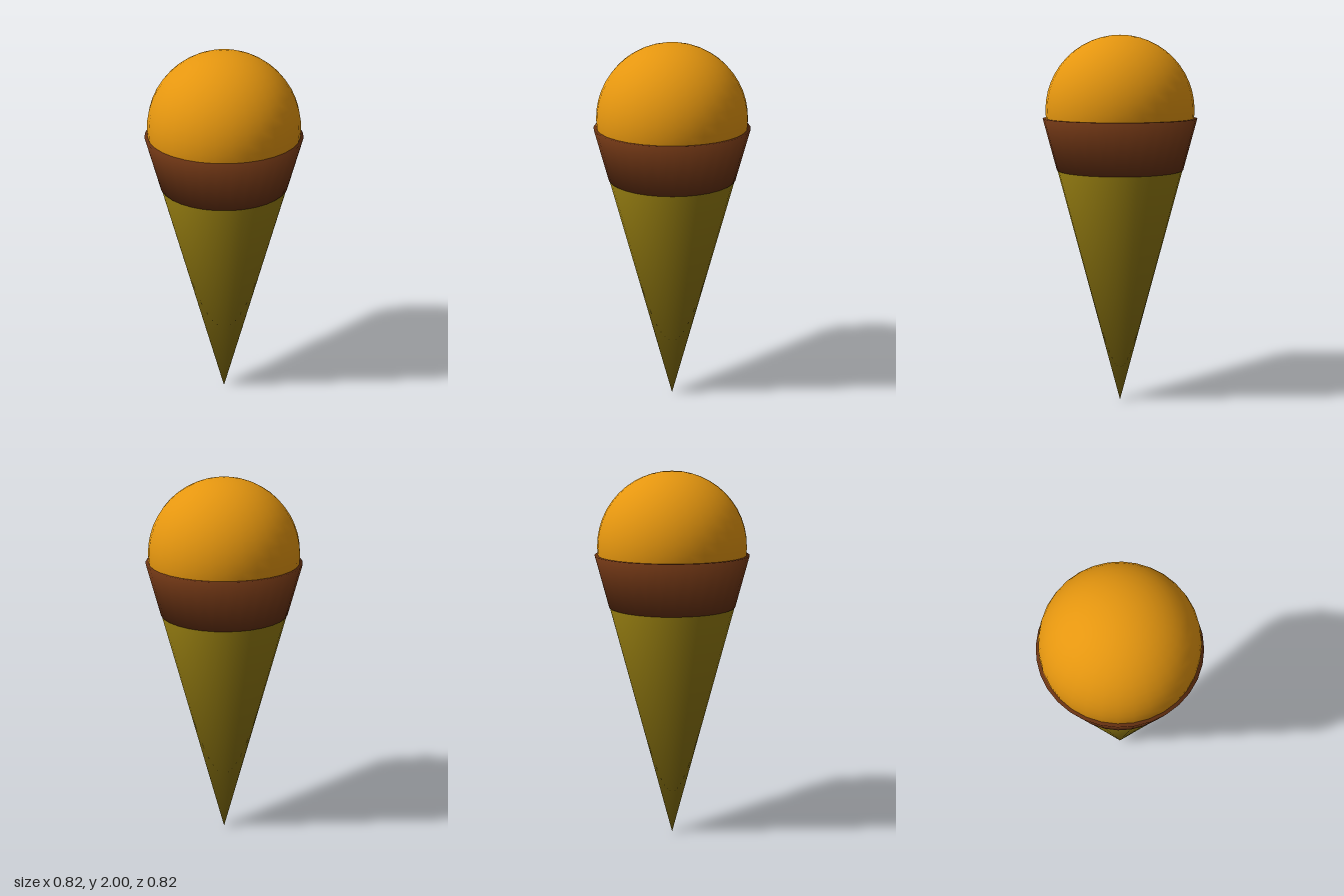
import * as THREE from 'three';
import { mergeVertices } from 'three/addons/utils/BufferGeometryUtils.js';

const SIDES = 32;

// Closed frustum whose normals run smoothly over its rims
function softFrustum(rTop, rBottom, y0, y1) {
  const g = new THREE.CylinderGeometry(rTop, rBottom, y1 - y0, SIDES, 1);
  g.deleteAttribute('normal');
  g.deleteAttribute('uv');
  const merged = mergeVertices(g, 1e-4);
  merged.computeVertexNormals();
  merged.translate(0, (y0 + y1) / 2, 0);
  return merged;
}

export function createModel() {
  const group = new THREE.Group();
  const material = (name, color) => {
    const m = new THREE.MeshStandardMaterial({ color });
    m.name = name;
    return m;
  };
  const add = (name, geometry, mat) => {
    const mesh = new THREE.Mesh(geometry, mat);
    mesh.name = name;
    group.add(mesh);
  };

  // Wafer cone standing on its tip
  add('cone', softFrustum(0.335, 0, 0, 1.29), material('wafer', 0x927a10));

  // Flared band around the mouth of the cone
  add('band', softFrustum(0.41, 0.338, 1.29, 1.565), material('chocolate', 0x683212));

  // Scoop resting in the band
  const scoop = new THREE.SphereGeometry(0.395, SIDES, 24);
  scoop.translate(0, 1.605, 0);
  add('scoop', scoop, material('orangeIce', 0xe5960f));

  return group;
}
